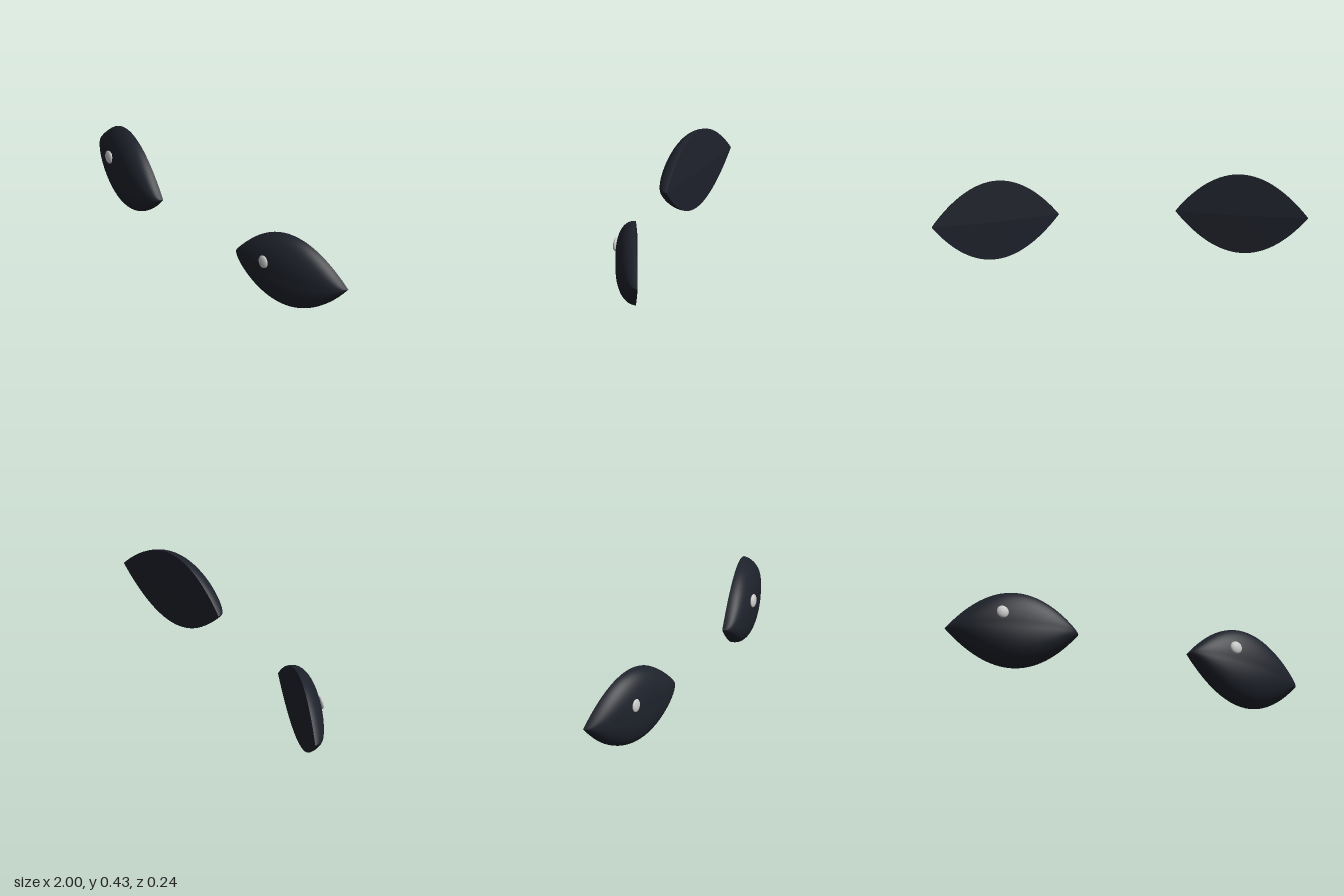
import * as THREE from 'three';

const HALF = 0.345, MID_X = 0.655, MID_Y = 0.215, HEIGHT = 0.217, DEPTH = 0.121;

// almond outline, slanted base line and domed front of one eye; t runs tip to tip, s bottom to top
const outline = t => HEIGHT * (1 - t * t);
const baseZ = t => -0.032 - 0.088 * t;
const tipY = t => MID_Y - 0.006 * (1 - Math.abs(t));
const rimZ = (t, s) => baseZ(t) + 0.012 * Math.abs(s) * (1 - t * t);
const domeZ = (t, s) => rimZ(t, s)
  + DEPTH * Math.sqrt(Math.max(0, 1 - t * t)) * Math.pow(Math.max(0, 1 - Math.abs(s) ** 2.1), 0.48);

// grid patch over the almond; side is +1 or -1, back patches face -z
function patch(zAt, s0, s1, rows, side, back) {
  const cols = 48, pos = [], index = [];
  for (let i = 0; i <= cols; i++) {
    const t = -Math.cos(Math.PI * i / cols);
    for (let j = 0; j <= rows; j++) {
      const k = j / rows;
      const s = back ? s0 + (s1 - s0) * k : -Math.cos(Math.PI * k);
      pos.push(side * (MID_X + HALF * t), tipY(t) + (MID_Y - tipY(t)) * Math.abs(s) + s * outline(t), zAt(t, s));
    }
  }
  const flip = (side < 0) !== back;
  for (let i = 0; i < cols; i++) {
    for (let j = 0; j < rows; j++) {
      const a = i * (rows + 1) + j, b = a + rows + 1;
      if (flip) index.push(a, a + 1, b, b, a + 1, b + 1);
      else index.push(a, b, a + 1, b, b + 1, a + 1);
    }
  }
  const g = new THREE.BufferGeometry();
  g.setAttribute('position', new THREE.Float32BufferAttribute(pos, 3));
  g.setIndex(index);
  g.computeVertexNormals();
  return g;
}

export function createModel() {
  const model = new THREE.Group();
  const dark = new THREE.MeshStandardMaterial({ color: 0x1e222b });
  const light = new THREE.MeshStandardMaterial({ color: 0xcccccc });
  const add = (parent, name, geometry, material) => {
    const mesh = new THREE.Mesh(geometry, material);
    mesh.name = name;
    parent.add(mesh);
    return mesh;
  };

  for (const side of [1, -1]) {
    const eye = new THREE.Group();
    eye.name = side > 0 ? 'leftEye' : 'rightEye';
    model.add(eye);

    // domed front and the two shallow back facets meeting at a centre crease
    add(eye, 'eyeFront', patch(domeZ, -1, 1, 36, side, false), dark);
    add(eye, 'eyeBackUpper', patch(rimZ, 0, 1, 8, side, true), dark);
    add(eye, 'eyeBackLower', patch(rimZ, -1, 0, 8, side, true), dark);

    // glint, on the same side of both eyes, lying on the dome
    const x = side > 0 ? 0.573 : -0.742, y = 0.277;
    const t = (side * x - MID_X) / HALF;
    const s = (y - MID_Y) / outline(t);
    const glint = add(eye, 'glint', new THREE.SphereGeometry(1, 28, 18), light);
    glint.scale.set(0.033, 0.036, 0.011);
    glint.position.set(x, y, domeZ(t, s) + 0.005);
    glint.rotation.set(-0.08, side > 0 ? 0.05 : -0.12, 0);
  }
  return model;
}
